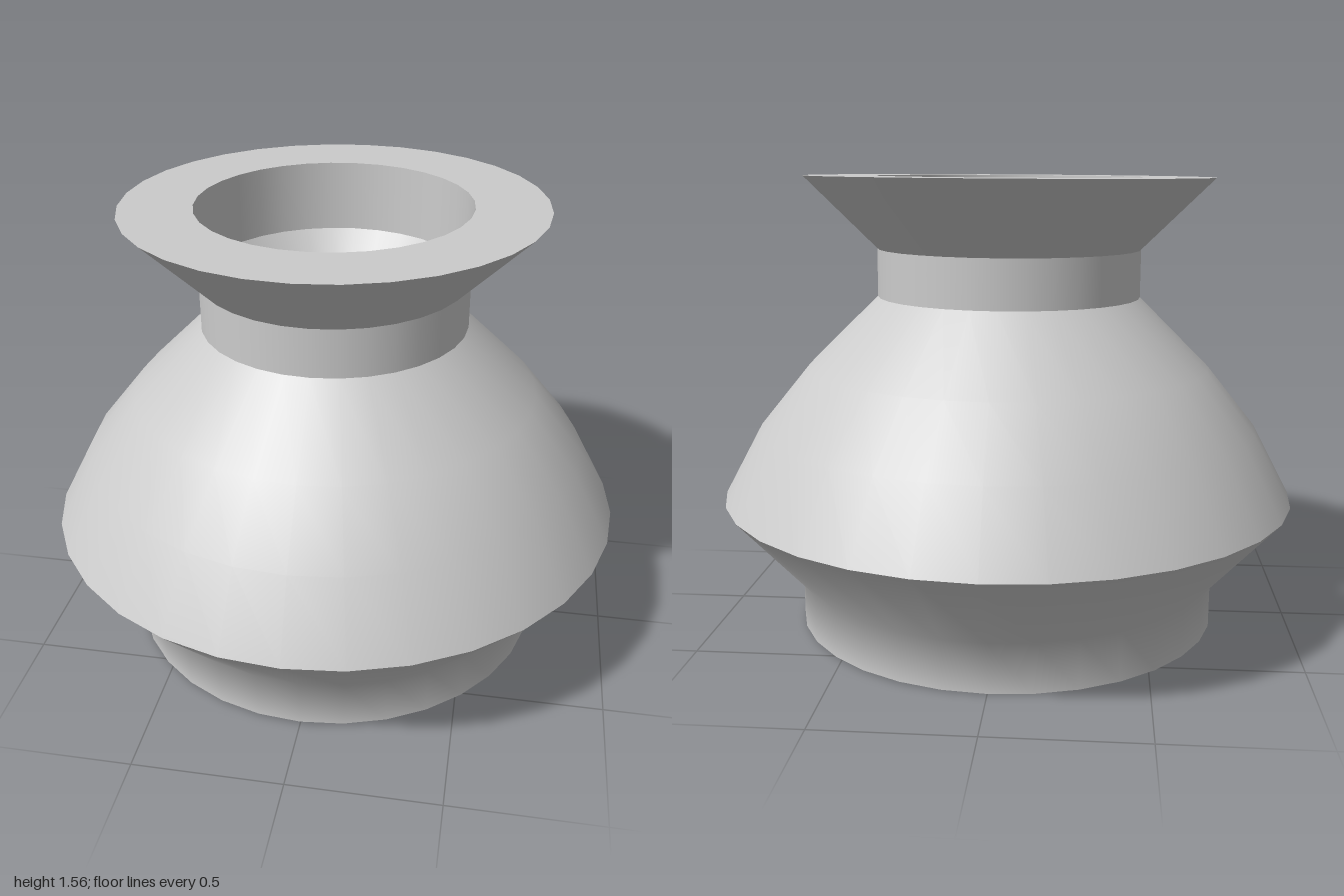
import * as THREE from 'three';

const SIDES = 32;
const material = new THREE.MeshStandardMaterial({ color: 0xcccccc });

// Each profile is a list of [radius, height]; smooth inside, sharp between parts.
function turned(name, profile) {
  const points = profile.map(([r, y]) => new THREE.Vector2(r, y));
  const mesh = new THREE.Mesh(new THREE.LatheGeometry(points, SIDES), material);
  mesh.name = name;
  return mesh;
}

export function createModel() {
  const pot = new THREE.Group();
  pot.name = 'pot';

  pot.add(
    // Foot and body
    turned('footUnderside', [[0, 0], [0.737, 0]]),
    turned('footAndLowerBody', [[0.737, 0], [0.737, 0.165], [0.995, 0.455]]),
    turned('upperBody', [[0.995, 0.455], [0.865, 0.698], [0.697, 0.905], [0.455, 1.143]]),

    // Neck and flared rim
    turned('neck', [[0.455, 1.143], [0.455, 1.307]]),
    turned('rimFlare', [[0.455, 1.307], [0.702, 1.551]]),
    turned('rimTop', [[0.702, 1.551], [0.457, 1.551]]),

    // Inside of the mouth, pinched at the neck, closed by a floor
    turned('mouthWall', [[0.457, 1.551], [0.455, 1.307]]),
    turned('innerLedge', [[0.455, 1.307], [0.398, 1.225]]),
    turned('innerUndercut', [[0.398, 1.225], [0.455, 1.143]]),
    turned('mouthFloor', [[0.455, 1.143], [0, 1.143]])
  );

  // The pot leans very slightly
  pot.rotation.set(-0.0065, 0, 0.0065);
  pot.position.y = 0.007;

  const model = new THREE.Group();
  model.name = 'vase';
  model.add(pot);
  return model;
}
